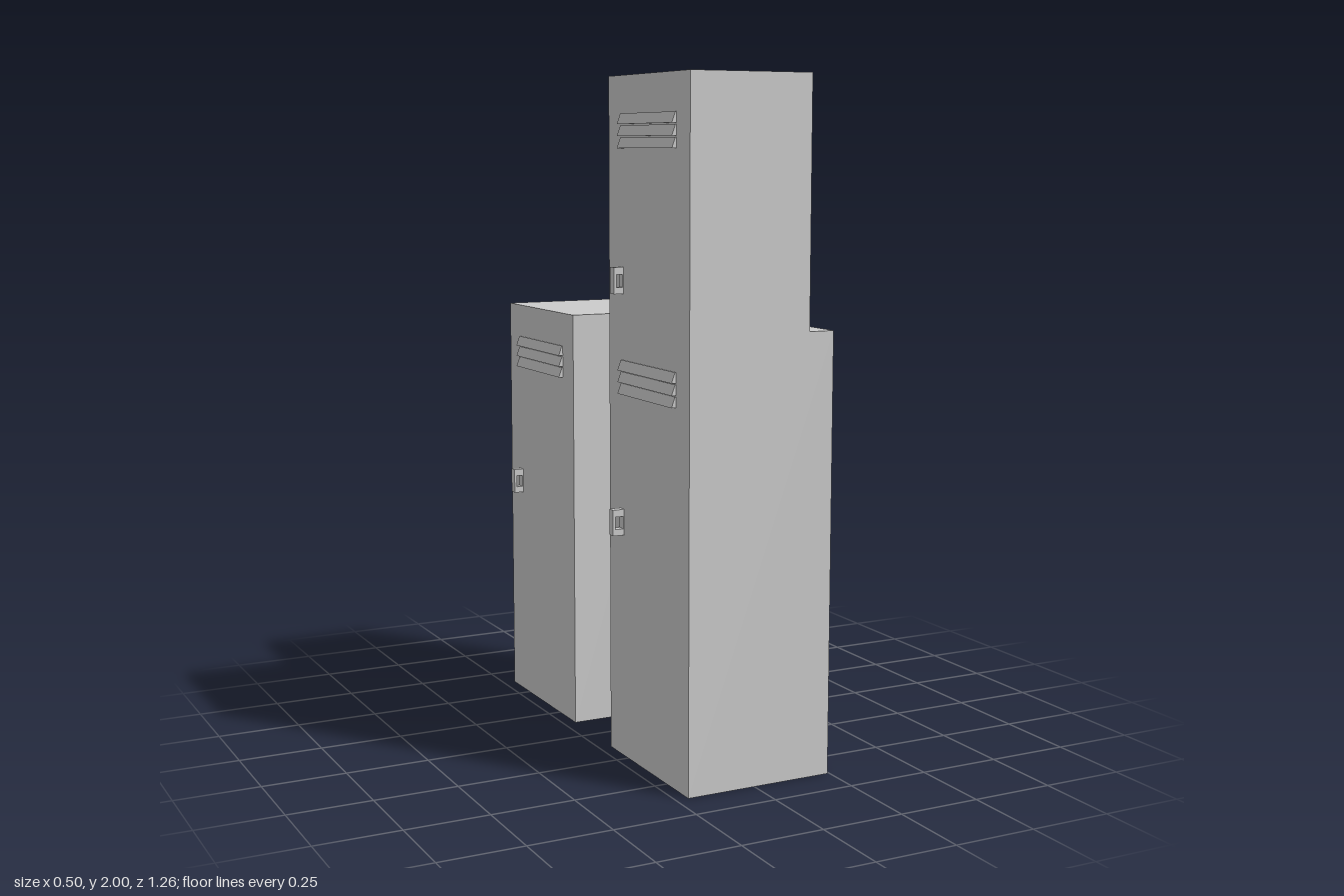
import * as THREE from 'three';

const DOOR_X = -0.212; // face carrying the doors, looking along -x
const DEPTH = 0.502;   // locker extent along z

export function createModel() {
  const model = new THREE.Group();
  const mat = new THREE.MeshStandardMaterial({ color: 0xcccccc, flatShading: true });

  const add = (parent, name, geo) => {
    const mesh = new THREE.Mesh(geo, mat);
    mesh.name = name;
    parent.add(mesh);
    return mesh;
  };

  // box given by its minimum and maximum corners
  const box = (parent, name, [x0, y0, z0], [x1, y1, z1]) =>
    add(parent, name, new THREE.BoxGeometry(x1 - x0, y1 - y0, z1 - z0)
      .translate((x0 + x1) / 2, (y0 + y1) / 2, (z0 + z1) / 2));

  // x-y outline extruded from z0 over a length, optionally with a hole
  const prism = (parent, name, points, z0, length, hole) => {
    const shape = new THREE.Shape(points.map(p => new THREE.Vector2(...p)));
    if (hole) shape.holes.push(new THREE.Path(hole.map(p => new THREE.Vector2(...p))));
    const geo = new THREE.ExtrudeGeometry(shape, { depth: length, bevelEnabled: false });
    return add(parent, name, geo.translate(0, 0, z0));
  };

  const rect = (x0, y0, x1, y1) => [[x0, y0], [x1, y0], [x1, y1], [x0, y1]];

  // three wedge-shaped slats
  const vent = (parent, y) => {
    const group = new THREE.Group();
    group.name = 'vent';
    for (let i = 0; i < 3; i++) {
      const b = y + i * 0.034;
      prism(group, 'ventSlat',
        [[DOOR_X - 0.014, b], [DOOR_X + 0.001, b], [DOOR_X + 0.001, b + 0.03], [DOOR_X - 0.003, b + 0.03]],
        0.082, 0.341);
    }
    parent.add(group);
  };

  // square loop pull
  const handle = (parent, y, reach) => prism(parent, 'handle',
    rect(DOOR_X - reach, y, DOOR_X + 0.001, y + 0.077), 0.07, 0.026,
    rect(DOOR_X - reach + 0.008, y + 0.019, DOOR_X - 0.003, y + 0.056));

  // thin raised strip on the rear panel
  const rearStrip = (parent, y) =>
    box(parent, 'rearStrip', [0.16, y, 0.024], [0.17, y + 0.036, 0.476]);

  // tall stepped locker with two doors
  const tall = new THREE.Group();
  tall.name = 'tallLocker';
  tall.position.z = 0.13;
  prism(tall, 'tallBody',
    [[DOOR_X, 0], [0.244, 0], [0.244, 1.29], [0.166, 1.29], [0.166, 2], [DOOR_X, 2]], 0, DEPTH);
  vent(tall, 1.795);
  vent(tall, 1.09);
  handle(tall, 1.38, 0.031);
  handle(tall, 0.672, 0.036);
  rearStrip(tall, 1.612);
  box(tall, 'rearPin', [0.24, 0.652, 0.175], [0.247, 0.658, 0.181]);

  // short locker with one door
  const short = new THREE.Group();
  short.name = 'shortLocker';
  short.position.z = -0.632;
  box(short, 'shortBody', [DOOR_X, 0, 0], [0.166, 1.29, DEPTH]);
  vent(short, 1.09);
  handle(short, 0.672, 0.031);
  rearStrip(short, 0.897);

  model.add(tall, short);
  return model;
}
